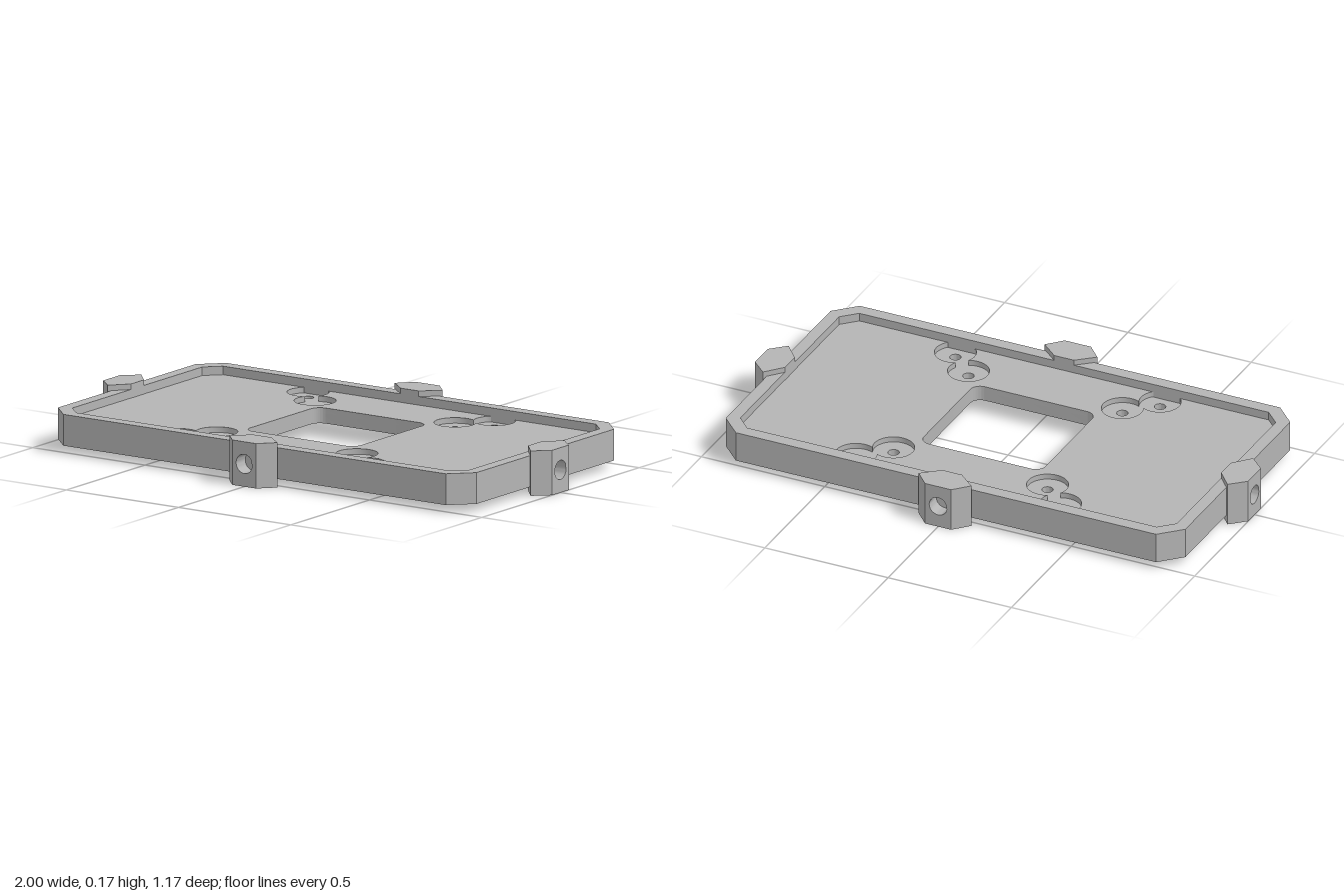
import * as THREE from 'three';
import { toCreasedNormals } from 'three/addons/utils/BufferGeometryUtils.js';

const RIM_X = 0.885, RIM_Z = 0.467;

// Rectangle with cut corners, centred on the origin
function chamferedRect(path, x, z, c) {
  return path.setFromPoints([
    [x - c, -z], [x, -z + c], [x, z - c], [x - c, z],
    [-x + c, z], [-x, z - c], [-x, -z + c], [-x + c, -z],
  ].map(([a, b]) => new THREE.Vector2(a, b)));
}

function circle(x, y, r) {
  return new THREE.Path().absarc(x, y, r, 0, Math.PI * 2, false);
}

// Central window with rounded corners
function windowPath() {
  const x = 0.247, z = 0.233, r = 0.04, p = new THREE.Path();
  p.absarc(x - r, z - r, r, 0, Math.PI / 2, false);
  p.absarc(-x + r, z - r, r, Math.PI / 2, Math.PI, false);
  p.absarc(-x + r, -z + r, r, Math.PI, Math.PI * 1.5, false);
  p.absarc(x - r, -z + r, r, Math.PI * 1.5, Math.PI * 2, false);
  return p.closePath();
}

// Two merged round counterbores, trimmed by the inside of the rim
const INNER = 0.312, OUTER = 0.415, BORE = 0.077;
function pocketPath(sx, sz) {
  const half = Math.acos((OUTER - INNER) * Math.SQRT2 / 2 / BORE);
  const points = [], n = 40;
  for (const [c, middle] of [[INNER, Math.PI / 4], [OUTER, Math.PI * 1.25]]) {
    for (let i = 0; i < n; i++) {
      const a = middle + half + (Math.PI * 2 - 2 * half) * i / n;
      const x = c + BORE * Math.cos(a), z = c + BORE * Math.sin(a);
      points.push(new THREE.Vector2(sx * x, sz * Math.min(z, RIM_Z)));
    }
  }
  return new THREE.Path(points);
}

// Horizontal slab between two heights
function slab(shape, y0, y1) {
  const g = new THREE.ExtrudeGeometry(shape, { depth: y1 - y0, bevelEnabled: false, curveSegments: 16 });
  g.rotateX(-Math.PI / 2).translate(0, y0, 0);
  return toCreasedNormals(g, 0.5);
}

// Lug pointing along +z, its outer face at z = 0, narrowing toward both ends
function createLug(material) {
  const w = 0.107, tip = 0.053, root = 0.04, h = 0.168, d = 0.058;
  const lug = new THREE.Group();

  const face = new THREE.Shape([[-w, 0], [w, 0], [w, h], [-w, h]].map(([a, b]) => new THREE.Vector2(a, b)));
  face.holes.push(circle(0, 0.085, 0.036));
  const outer = new THREE.ExtrudeGeometry(face, { depth: d, bevelEnabled: false, curveSegments: 16 });
  outer.translate(0, 0, -d);
  taper(outer, (z) => z > -0.001, tip, w);
  lug.add(named(new THREE.Mesh(toCreasedNormals(outer, 0.5), material), 'lugOuterHalf'));

  const inner = new THREE.BoxGeometry(2 * w, h, d).toNonIndexed();
  inner.translate(0, h / 2, -1.5 * d);
  taper(inner, (z) => z < -1.5 * d, root, w);
  inner.computeVertexNormals();
  lug.add(named(new THREE.Mesh(inner, material), 'lugInnerHalf'));
  return lug;
}

// Pull the wide corners at one end in to a smaller half width
function taper(geometry, atEnd, halfWidth, w) {
  const p = geometry.attributes.position;
  for (let i = 0; i < p.count; i++) {
    if (atEnd(p.getZ(i)) && Math.abs(p.getX(i)) > w - 0.001) p.setX(i, Math.sign(p.getX(i)) * halfWidth);
  }
  geometry.computeVertexNormals();
}

function named(object, name) {
  object.name = name;
  return object;
}

export function createModel() {
  const model = named(new THREE.Group(), 'mountingPlate');
  const grey = named(new THREE.MeshStandardMaterial({ color: 0xb4b4b4 }), 'grey');
  const add = (geometry, name) => model.add(named(new THREE.Mesh(geometry, grey), name));
  const outline = () => chamferedRect(new THREE.Shape(), 0.932, 0.517, 0.08);

  // Raised rims above and below the floor
  const rim = outline();
  rim.holes.push(chamferedRect(new THREE.Path(), RIM_X, RIM_Z, 0.055));
  add(slab(rim, 0.03, 0.057), 'bottomRim');
  add(slab(rim, 0.115, 0.147), 'topRim');

  // Floor: drilled lower layer, counterbored upper layer
  const lower = outline(), upper = outline();
  lower.holes.push(windowPath());
  upper.holes.push(windowPath());
  for (const sx of [-1, 1]) for (const sz of [-1, 1]) {
    for (const c of [INNER, OUTER]) lower.holes.push(circle(sx * c, sz * c, 0.021));
    upper.holes.push(pocketPath(sx, sz));
  }
  add(slab(lower, 0.057, 0.094), 'floorLower');
  add(slab(upper, 0.094, 0.115), 'floorUpper');

  // One lug in the middle of each side
  ['frontLug', 'leftLug', 'backLug', 'rightLug'].forEach((name, i) => {
    const lug = named(createLug(grey), name);
    const angle = i * Math.PI / 2, reach = i % 2 ? 1 : 0.583;
    lug.rotation.y = angle;
    lug.position.set(Math.sin(angle) * reach, 0, Math.cos(angle) * reach);
    model.add(lug);
  });
  return model;
}
